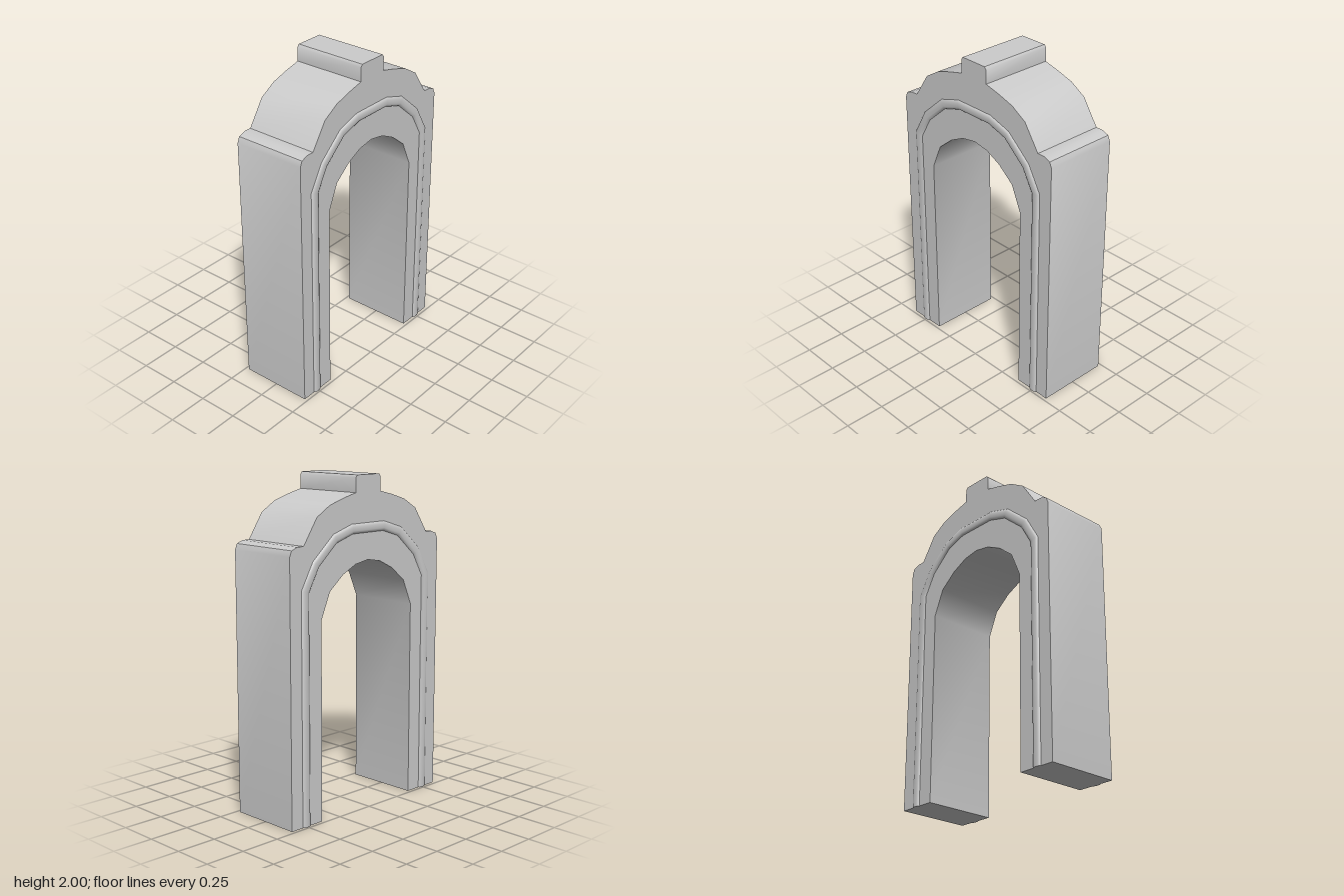
import * as THREE from 'three';
import { toCreasedNormals } from 'three/addons/utils/BufferGeometryUtils.js';

const HALF_DEPTH = 0.23;

// Half outlines (right side), mirrored to make full symmetric ones
const outer = [[0.617, 0], [0.617, 1.58], [0.602, 1.614], [0.56, 1.63], [0.512, 1.63],
  [0.41, 1.782], [0.31, 1.842], [0.2, 1.876], [0.102, 1.9], [0.102, 1.985], [0.09, 2]];
const inner = [[0.377, 0], [0.377, 1.2], [0.31, 1.355], [0.205, 1.44], [0.103, 1.49], [0, 1.508]];
const beadHalf = [[0.503, 0], [0.503, 1.375], [0.42, 1.52], [0.268, 1.652], [0.13, 1.695]];

const mirrored = (half) => half.map(([x, y]) => [-x, y]);

// Raised strip swept along a path in the xy plane with mitred corners
function beadGeometry(path) {
  const profile = [[-0.03, -0.002], [-0.024, 0.006], [-0.012, 0.01],
    [0.012, 0.01], [0.024, 0.006], [0.03, -0.002]];
  const n = profile.length;
  const points = path.map(([x, y]) => new THREE.Vector2(x, y));
  const last = points.length - 1;
  const positions = [];
  const index = [];
  points.forEach((p, i) => {
    const before = p.clone().sub(points[Math.max(i - 1, 0)]).normalize();
    const after = points[Math.min(i + 1, last)].clone().sub(p).normalize();
    const t = before.clone().add(after).normalize();
    const mitre = 1 / t.dot(i < last ? after : before);
    for (const [w, h] of profile) {
      positions.push(p.x - t.y * w * mitre, p.y + t.x * w * mitre, h);
    }
  });
  for (let i = 0; i < last; i++) {
    for (let j = 0; j < n - 1; j++) {
      const a = i * n + j, b = a + n;
      index.push(a, b, a + 1, b, b + 1, a + 1);
    }
  }
  // End caps at the feet
  const e = last * n;
  for (let j = 1; j < n - 1; j++) {
    index.push(0, j, j + 1, e, e + j + 1, e + j);
  }
  const geometry = new THREE.BufferGeometry();
  geometry.setAttribute('position', new THREE.Float32BufferAttribute(positions, 3));
  geometry.setIndex(index);
  return toCreasedNormals(geometry, 0.9);
}

export function createModel() {
  const group = new THREE.Group();
  group.name = 'archway';
  const material = new THREE.MeshStandardMaterial({ color: 0xcccccc });

  // Arch body with shoulders and keystone
  const outline = [...outer, ...mirrored(outer).reverse(),
    ...mirrored(inner), ...inner.slice(0, -1).reverse()];
  const shape = new THREE.Shape(outline.map(([x, y]) => new THREE.Vector2(x, y)));
  const body = new THREE.ExtrudeGeometry(shape, { depth: HALF_DEPTH * 2, bevelEnabled: false });
  body.translate(0, 0, -HALF_DEPTH);
  const arch = new THREE.Mesh(toCreasedNormals(body, 0.7), material);
  arch.name = 'archBody';
  group.add(arch);

  // Raised moulding on both faces
  const bead = beadGeometry([...mirrored(beadHalf), ...beadHalf.slice().reverse()]);
  for (const side of [1, -1]) {
    const moulding = new THREE.Mesh(bead, material);
    moulding.name = side > 0 ? 'frontMoulding' : 'backMoulding';
    moulding.position.z = side * HALF_DEPTH;
    moulding.rotation.y = side > 0 ? 0 : Math.PI;
    group.add(moulding);
  }
  return group;
}
